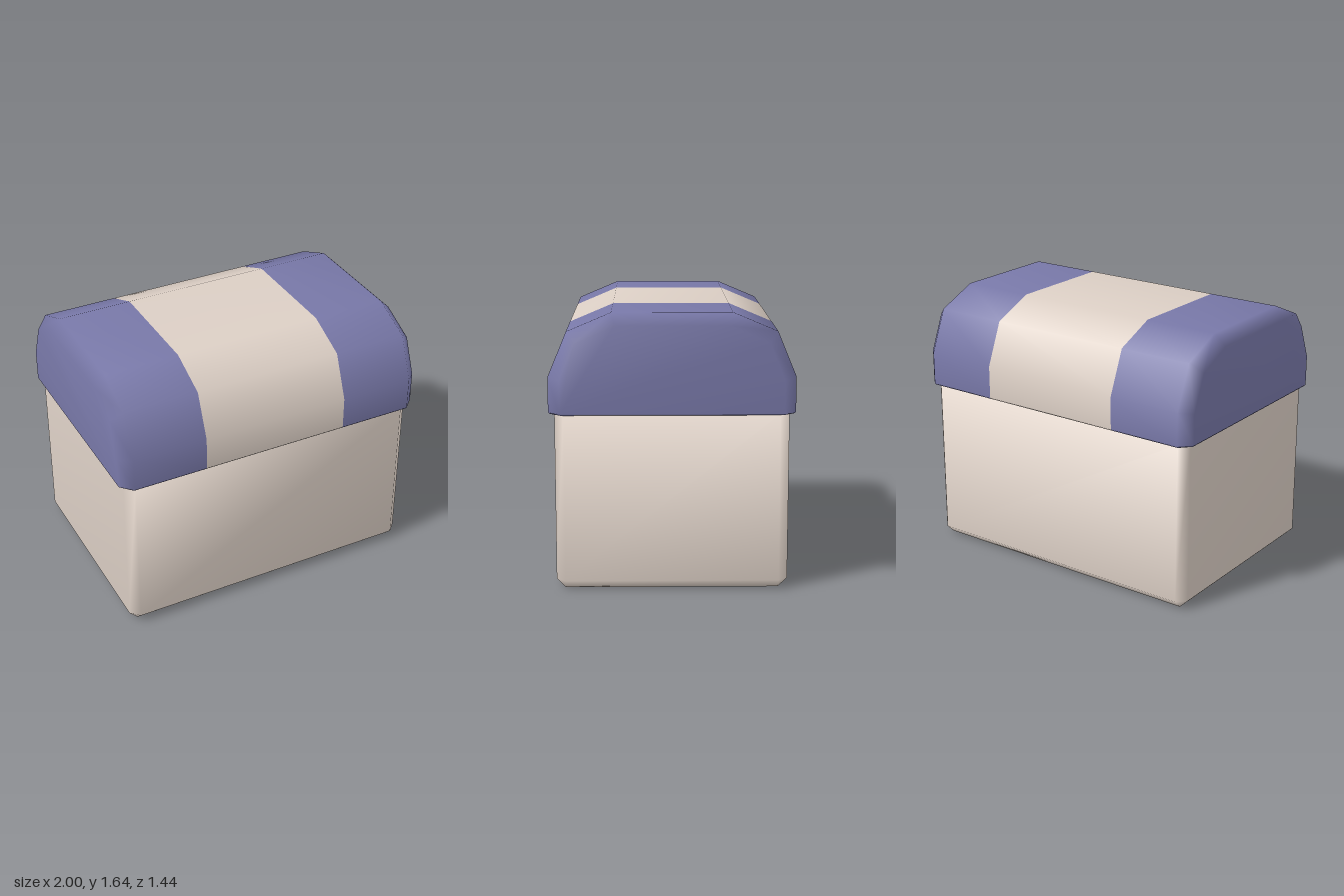
import * as THREE from 'three';
import { mergeVertices } from 'three/addons/utils/BufferGeometryUtils.js';

// Skin closed rings of [x, y, z] points, cap both ends, one material index per band.
function loft(rings, bands) {
  const n = rings[0].length;
  const index = [];
  const geometry = new THREE.BufferGeometry();
  geometry.setAttribute('position', new THREE.Float32BufferAttribute(rings.flat(2), 3));
  const cap = (ring, flip) => {
    for (let k = 1; k < n - 1; k++) {
      const a = ring * n + 1, b = ring * n + (1 + k) % n, c = ring * n + (2 + k) % n;
      index.push(a, ...(flip ? [c, b] : [b, c]));
    }
  };
  bands.forEach((material, i) => {
    const start = index.length;
    if (i === 0) cap(0, false);
    for (let j = 0; j < n; j++) {
      const a = i * n + j, b = i * n + (j + 1) % n;
      index.push(a, a + n, b, b, a + n, b + n);
    }
    if (i === bands.length - 1) cap(i + 1, true);
    geometry.addGroup(start, index.length - start, material);
  });
  geometry.setIndex(index);
  return geometry;
}

// Rectangle with cut corners at height y.
function cutRectangle(hx, hz, cut, y) {
  const x = hx - cut, z = hz - cut;
  return [[x, hz], [-x, hz], [-hx, z], [-hx, -z], [-x, -hz], [x, -hz], [hx, -z], [hx, z]]
    .map(([px, pz]) => [px, y, pz]);
}

export function createModel() {
  const cream = new THREE.MeshStandardMaterial({ color: 0xdccfc5 });
  cream.name = 'cream';
  const blue = new THREE.MeshStandardMaterial({ color: 0x7878a8 });
  blue.name = 'slate blue';

  const group = new THREE.Group();
  group.name = 'chest';

  // Body: box with bevelled bottom and upright edges
  const bevel = 0.055;
  const bodyGeometry = mergeVertices(loft([
    cutRectangle(0.965 - bevel, 0.685 - bevel, 0, 0),
    cutRectangle(0.965, 0.685, bevel, bevel),
    cutRectangle(0.965, 0.685, bevel, 1.06),
  ], [0, 0]));
  bodyGeometry.clearGroups();
  bodyGeometry.computeVertexNormals();
  const body = new THREE.Mesh(bodyGeometry, cream);
  body.name = 'body';
  group.add(body);

  // Lid: faceted arch [z, y] swept along x, with a smaller arch closing each end
  const arch = [[0.71, 1.055], [0.72, 1.065], [0.72, 1.27], [0.61, 1.535], [0.35, 1.645]];
  const endArch = [[0.645, 1.055], [0.65, 1.065], [0.65, 1.256], [0.56, 1.475], [0.335, 1.575]];
  const ring = (half, x) => {
    const full = [...half, ...half.map(([z, y]) => [-z, y]).reverse()];
    // The bottom rim of the end rings is drawn in slightly
    return full.map(([z, y]) => [Math.abs(x) === 1 && y < 1.06 ? x * 0.99 : x, y, z]);
  };
  const lidGeometry = loft([
    ring(endArch, -1),
    ...[-0.93, -0.465, 0.465, 0.93].map((x) => ring(arch, x)),
    ring(endArch, 1),
  ], [0, 0, 1, 0, 0]);
  lidGeometry.computeVertexNormals();
  const lid = new THREE.Mesh(lidGeometry, [blue, cream]);
  lid.name = 'lid';
  group.add(lid);

  return group;
}
